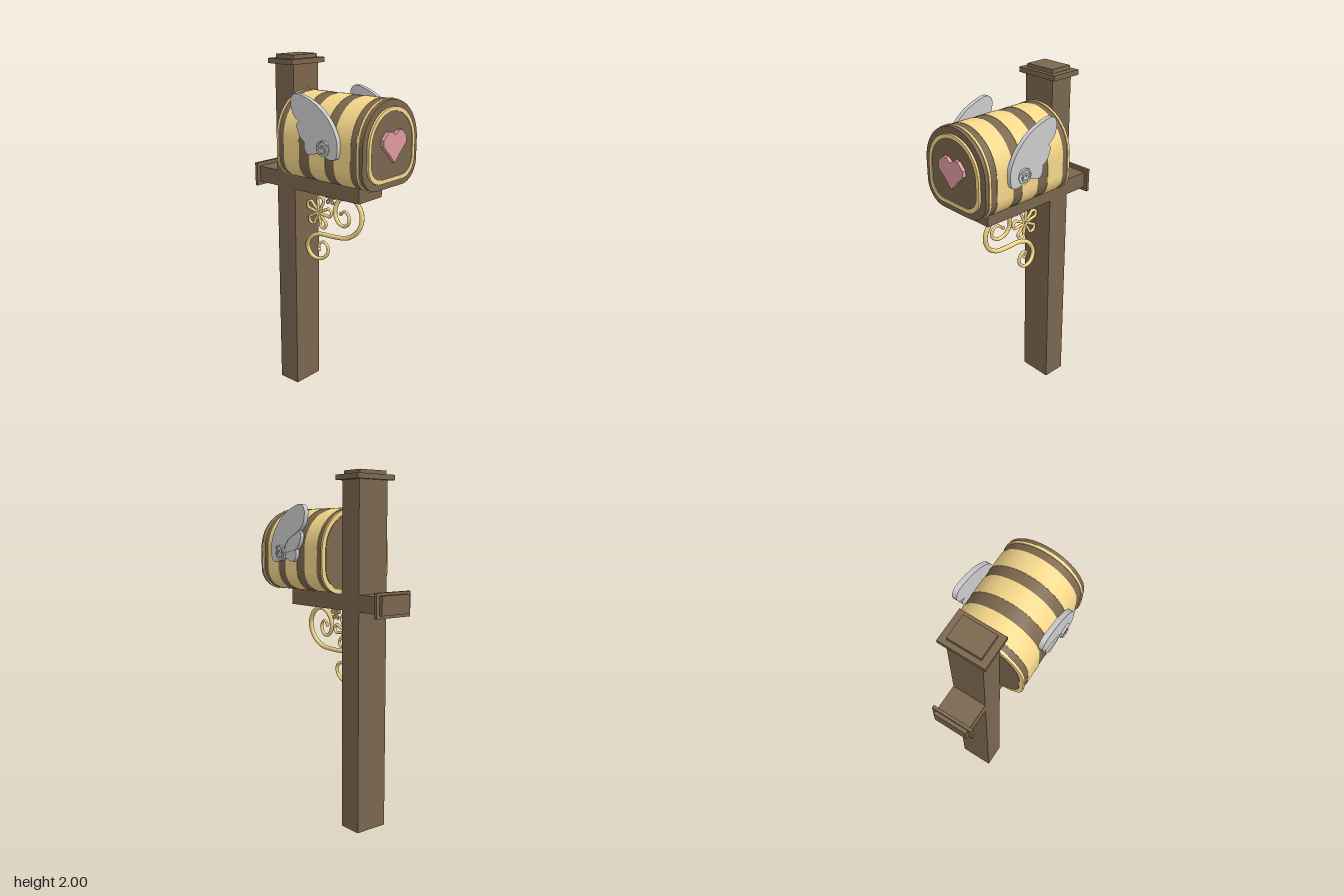
import * as THREE from 'three';
import { toCreasedNormals } from 'three/addons/utils/BufferGeometryUtils.js';

const mat = (color) => new THREE.MeshStandardMaterial({ color });

export function createModel() {
  const model = new THREE.Group();
  const wood = mat(0x7a664d), gold = mat(0xf5d78a), pink = mat(0xdc99a0), grey = mat(0xcccccc);

  const add = (name, geometry, material, parent = model) => {
    const mesh = new THREE.Mesh(geometry, material);
    mesh.name = name;
    parent.add(mesh);
    return mesh;
  };
  // Box given by its limits in x and y and its half depth in z
  const box = (name, x0, x1, y0, y1, hz) => {
    const g = new THREE.BoxGeometry(x1 - x0, y1 - y0, hz * 2);
    g.translate((x0 + x1) / 2, (y0 + y1) / 2, 0);
    return add(name, g, wood);
  };

  // Post with cap, and cross arm with end plates
  box('post', -0.29, -0.15, 0, 1.96, 0.1);
  box('postCapPlate', -0.315, -0.13, 1.95, 1.978, 0.13);
  box('postCapTop', -0.288, -0.154, 1.978, 2, 0.093);
  box('crossArm', -0.44, 0.32, 1.25, 1.343, 0.1);
  box('armEndPlate', -0.455, -0.437, 1.228, 1.365, 0.122);
  box('armEndCap', -0.475, -0.455, 1.245, 1.35, 0.1);

  // Mailbox section: round top, straight sides, rounded bottom corners
  const section = (inset, Type = THREE.Shape) => {
    const r = 0.235 - inset, b = 1.343 + inset, c = 0.125 - inset * 0.6;
    const s = new Type();
    s.moveTo(r, 1.575);
    s.absarc(0, 1.575, r, 0, Math.PI, false);
    s.lineTo(-r, b + c);
    s.absarc(-r + c, b + c, c, Math.PI, Math.PI * 1.5, false);
    s.lineTo(r - c, b);
    s.absarc(r - c, b + c, c, -Math.PI / 2, 0, false);
    s.closePath();
    return s;
  };
  // Extrude a (z, y) shape along x
  const alongX = (name, shape, x0, x1, material, parent) => {
    let g = new THREE.ExtrudeGeometry(shape, { depth: x1 - x0, bevelEnabled: false, curveSegments: 20 });
    g.rotateY(Math.PI / 2);
    g.translate(x0, 0, 0);
    return add(name, toCreasedNormals(g, 0.6), material, parent);
  };

  const mailbox = new THREE.Group();
  mailbox.name = 'mailbox';
  model.add(mailbox);
  const edges = [-0.15, -0.135, -0.1, 0.013, 0.087, 0.197, 0.26, 0.37, 0.41, 0.425, 0.446];
  for (let i = 0; i < edges.length - 1; i++) {
    const isGold = i % 2 === 0;
    const rim = i === 0 || i === 8;
    alongX(isGold ? 'goldBand' : 'darkBand', section(rim ? -0.003 : isGold ? 0 : 0.002),
      edges[i], edges[i + 1], isGold ? gold : wood, mailbox);
  }
  alongX('backPanel', section(0.02), -0.153, -0.14, wood, mailbox);

  // Door with raised gold ring and heart
  const ring = section(0.038);
  ring.holes.push(section(0.06, THREE.Path));
  alongX('doorRing', ring, 0.44, 0.459, gold, mailbox);
  alongX('doorPanel', section(0.058), 0.44, 0.455, wood, mailbox);
  const half = [[0.05, 1.535], [0.097, 1.578], [0.097, 1.612], [0.058, 1.65], [0.03, 1.65]];
  const heart = new THREE.Shape([
    [0, 1.483], ...half, [0, 1.628], ...half.map(([z, y]) => [-z, y]).reverse(),
  ].map(([z, y]) => new THREE.Vector2(z, y)));
  alongX('heart', heart, 0.45, 0.475, pink, mailbox);

  // Wings: three overlapping feathers and a curl, mirrored in z
  const feathers = [
    [[-0.018, 1.8], [0.01, 1.825], [0.09, 1.81], [0.18, 1.767], [0.257, 1.695], [0.297, 1.62], [0.303, 1.56],
      [0.29, 1.515], [0.25, 1.507], [0.2, 1.53], [0.15, 1.62], [0.05, 1.675], [0.0, 1.71], [-0.02, 1.76]],
    [[0.02, 1.67], [0.1, 1.68], [0.21, 1.62], [0.21, 1.56], [0.13, 1.568], [0.07, 1.58], [0.035, 1.61]],
    [[0.07, 1.58], [0.14, 1.61], [0.21, 1.59], [0.19, 1.545], [0.15, 1.525], [0.1, 1.513], [0.075, 1.53]],
  ];
  for (const side of [1, -1]) {
    const wing = new THREE.Group();
    wing.name = side > 0 ? 'rightHandWing' : 'leftHandWing';
    model.add(wing);
    const plate = (name, shape, z0, z1) => {
      const g = new THREE.ExtrudeGeometry(shape, { depth: z1 - z0, bevelEnabled: false, curveSegments: 4 });
      g.translate(0, 0, side > 0 ? z0 : -z1);
      add(name, toCreasedNormals(g, 0.5), grey, wing);
    };
    feathers.forEach((pts, i) => {
      const curve = new THREE.CatmullRomCurve3(pts.map(([x, y]) => new THREE.Vector3(x, y, 0)), true);
      const outline = curve.getPoints(40).slice(0, -1).map((p) => new THREE.Vector2(p.x, p.y));
      plate('feather', new THREE.Shape(outline), 0.232, 0.259 - i * 0.003);
    });
    // Curl: a low disc with a spiral ridge on it
    const disc = new THREE.Shape();
    disc.absarc(0.207, 1.56, 0.044, 0, Math.PI * 2, false);
    plate('curlDisc', disc, 0.235, 0.264);
    const outer = [], inner = [];
    for (let i = 0; i <= 24; i++) {
      const a = 0.6 + (i / 24) * Math.PI * 2.8, r = 0.047 - 0.035 * (i / 24);
      outer.push(new THREE.Vector2(0.207 + Math.cos(a) * r, 1.56 + Math.sin(a) * r));
      inner.push(new THREE.Vector2(0.207 + Math.cos(a) * (r - 0.009), 1.56 + Math.sin(a) * (r - 0.009)));
    }
    plate('curlRidge', new THREE.Shape([...outer, ...inner.reverse()]), 0.255, 0.272);
  }

  // Scroll bracket: an S with a spiral at each end, thinning towards the tips
  const ironwork = new THREE.Group();
  ironwork.name = 'scrollBracket';
  model.add(ironwork);
  const path = [
    [0.115, 1.135], [0.15, 1.157], [0.183, 1.14], [0.187, 1.1], [0.155, 1.072], [0.105, 1.08], [0.07, 1.13],
    [0.085, 1.2], [0.15, 1.238], [0.22, 1.21], [0.259, 1.14], [0.24, 1.06], [0.17, 1.005], [0.07, 0.992],
    [-0.03, 0.988], [-0.1, 0.955], [-0.133, 0.89], [-0.105, 0.836], [-0.05, 0.825], [0.0, 0.86],
    [0.004, 0.905], [-0.03, 0.932], [-0.06, 0.91], [-0.05, 0.885],
  ].map(([x, y], i, all) => new THREE.Vector3(x, y, 0.005 + 0.016 * Math.sin((i / (all.length - 1)) * Math.PI * 4)));
  const scroll = new THREE.CatmullRomCurve3(path);
  const segs = 140, sides = 8;
  const tube = new THREE.TubeGeometry(scroll, segs, 0.0135, sides, false);
  const pos = tube.attributes.position, v = new THREE.Vector3();
  for (let i = 0; i <= segs; i++) {
    const centre = scroll.getPointAt(i / segs);
    const k = 0.55 + 0.45 * Math.min(1, Math.min(i, segs - i) / 35);
    for (let j = 0; j <= sides; j++) {
      const n = i * (sides + 1) + j;
      v.fromBufferAttribute(pos, n).sub(centre).multiplyScalar(k).add(centre);
      pos.setXYZ(n, v.x, v.y, v.z);
    }
  }
  add('scroll', tube, gold, ironwork);
  for (const t of [0, 1]) {
    const tip = add('scrollTip', new THREE.SphereGeometry(0.011, 10, 8), gold, ironwork);
    tip.position.copy(scroll.getPointAt(t));
  }

  // Open flowers made of five looped petals
  const flower = (name, x, y, size, radius, turn) => {
    const petal = new THREE.CatmullRomCurve3([
      [0.16, 0.05], [0.55, 0.17], [0.82, 0.24], [1, 0], [0.82, -0.24], [0.55, -0.17], [0.16, -0.05],
    ].map(([a, b]) => new THREE.Vector3(a * size, b * size, 0)), true);
    const g = new THREE.TubeGeometry(petal, 32, radius, 7, true);
    const group = new THREE.Group();
    group.name = name;
    group.position.set(x, y, 0.003);
    for (let i = 0; i < 5; i++) {
      add('petal', g, gold, group).rotation.z = turn + (i * Math.PI * 2) / 5;
    }
    ironwork.add(group);
  };
  flower('largeFlower', -0.053, 1.111, 0.097, 0.009, 0.14);
  flower('smallFlower', 0.033, 1.212, 0.04, 0.0045, 0.3);

  return model;
}
